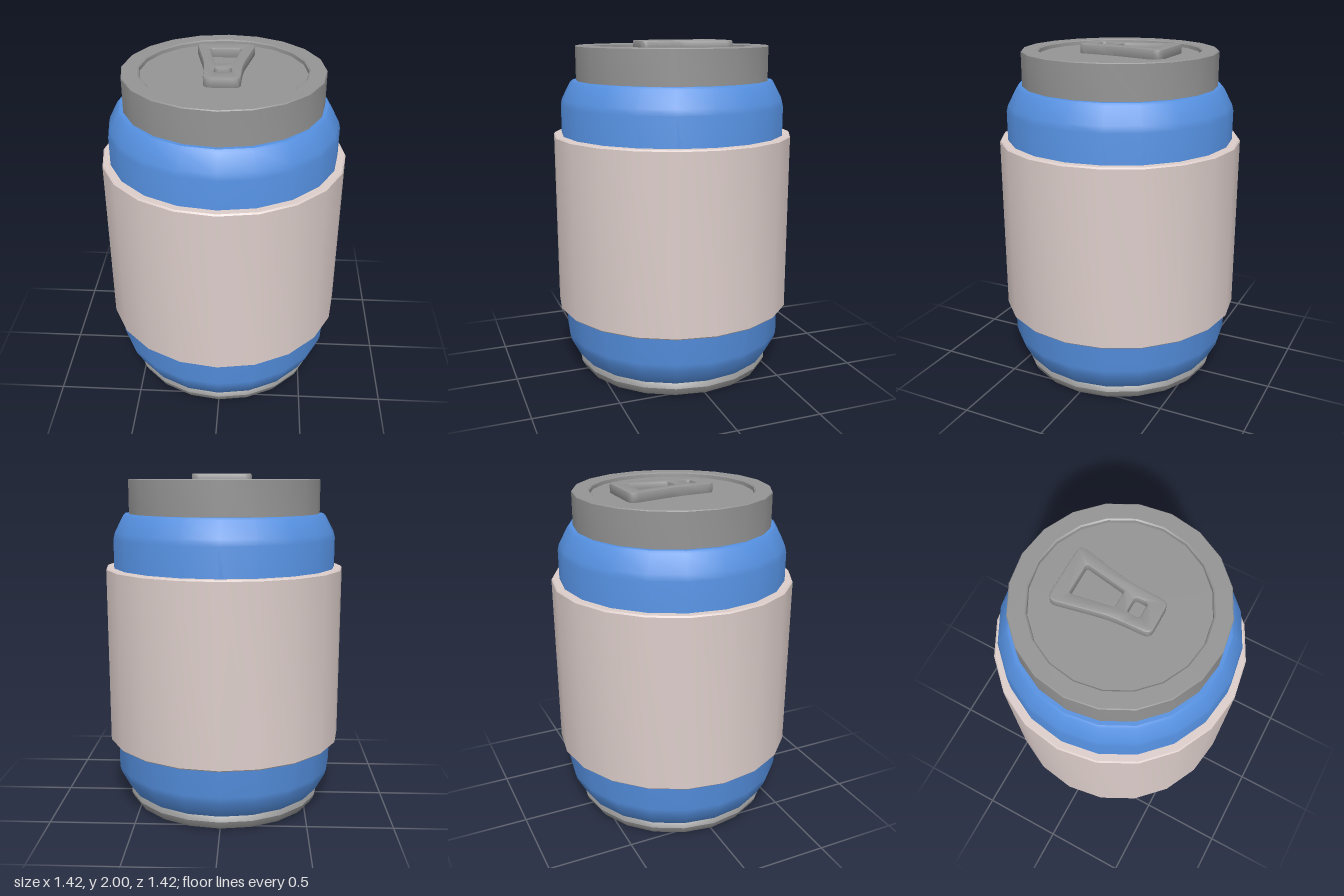
import * as THREE from 'three';
import { toCreasedNormals } from 'three/addons/utils/BufferGeometryUtils.js';

const SIDES = 20;

const material = (name, color) => {
  const m = new THREE.MeshStandardMaterial({ color });
  m.name = name;
  return m;
};

// Turned part from [radius, height] points, listed from the bottom up
function turned(name, profile, mat) {
  const points = profile.map(([r, y]) => new THREE.Vector2(r, y));
  const mesh = new THREE.Mesh(toCreasedNormals(new THREE.LatheGeometry(points, SIDES), 0.6), mat);
  mesh.name = name;
  return mesh;
}

// Closed outline with rounded corners; each corner is [x, y, radius]
function rounded(path, corners) {
  const n = corners.length;
  const toward = (a, b, d) => {
    const p = new THREE.Vector2(a[0], a[1]);
    const q = new THREE.Vector2(b[0], b[1]);
    return p.add(q.sub(p).setLength(d));
  };
  corners.forEach((c, i) => {
    const start = toward(c, corners[(i + n - 1) % n], c[2]);
    const end = toward(c, corners[(i + 1) % n], c[2]);
    if (i === 0) path.moveTo(start.x, start.y);
    else path.lineTo(start.x, start.y);
    path.quadraticCurveTo(c[0], c[1], end.x, end.y);
  });
  path.closePath();
  return path;
}

// Mirrors the right-hand corners to close a symmetric outline
const mirrored = (half) => [...half, ...half.slice().reverse().map(([x, y, r]) => [-x, y, r])];

function pullTab(mat) {
  const shape = rounded(new THREE.Shape(), mirrored([
    [0.1, -0.22, 0.04], [0.107, 0.0, 0.08], [0.175, 0.325, 0.05],
  ]));
  shape.holes.push(
    rounded(new THREE.Path(), mirrored([[0.05, 0.003, 0.015], [0.09, 0.24, 0.015]])),
    rounded(new THREE.Path(), mirrored([[0.046, -0.132, 0.02], [0.046, -0.06, 0.02]])),
  );
  const bevel = 0.008;
  const geometry = new THREE.ExtrudeGeometry(shape, {
    depth: 0.06 - 2 * bevel, curveSegments: 4,
    bevelSize: bevel, bevelThickness: bevel, bevelOffset: -bevel, bevelSegments: 2,
  });
  geometry.rotateX(-Math.PI / 2);
  const mesh = new THREE.Mesh(toCreasedNormals(geometry, 0.6), mat);
  mesh.name = 'pullTab';
  mesh.position.y = 1.94 + bevel;
  return mesh;
}

export function createModel() {
  const metal = material('grey metal', 0x949494);
  const paint = material('blue paint', 0x5590e0);
  const paper = material('pale label', 0xdccdca);

  const can = new THREE.Group();
  can.name = 'drinkCan';
  can.add(
    // Base rim and flat underside
    turned('base', [
      [0, 0], [0.535, 0], [0.565, 0.01], [0.583, 0.035], [0.593, 0.06], [0.58, 0.09], [0.56, 0.105],
    ], metal),
    // Body with sloped shoulders
    turned('body', [
      [0.54, 0.095], [0.59, 0.095], [0.602, 0.105], [0.655, 0.205], [0.664, 0.24],
      [0.664, 1.63], [0.655, 1.665], [0.605, 1.76], [0.592, 1.772], [0.54, 1.772],
    ], paint),
    // Sleeve standing proud of the body
    turned('label', [
      [0.65, 0.41], [0.703, 0.41], [0.711, 0.418], [0.711, 1.452], [0.703, 1.46], [0.65, 1.46],
    ], paper),
    // Lid with a raised rim around a shallow recess
    turned('lid', [
      [0.5, 1.765], [0.57, 1.765], [0.57, 1.966], [0.565, 1.971], [0.478, 1.971], [0.47, 1.965],
      [0.468, 1.945], [0, 1.945],
    ], metal),
    pullTab(metal),
  );
  return can;
}
